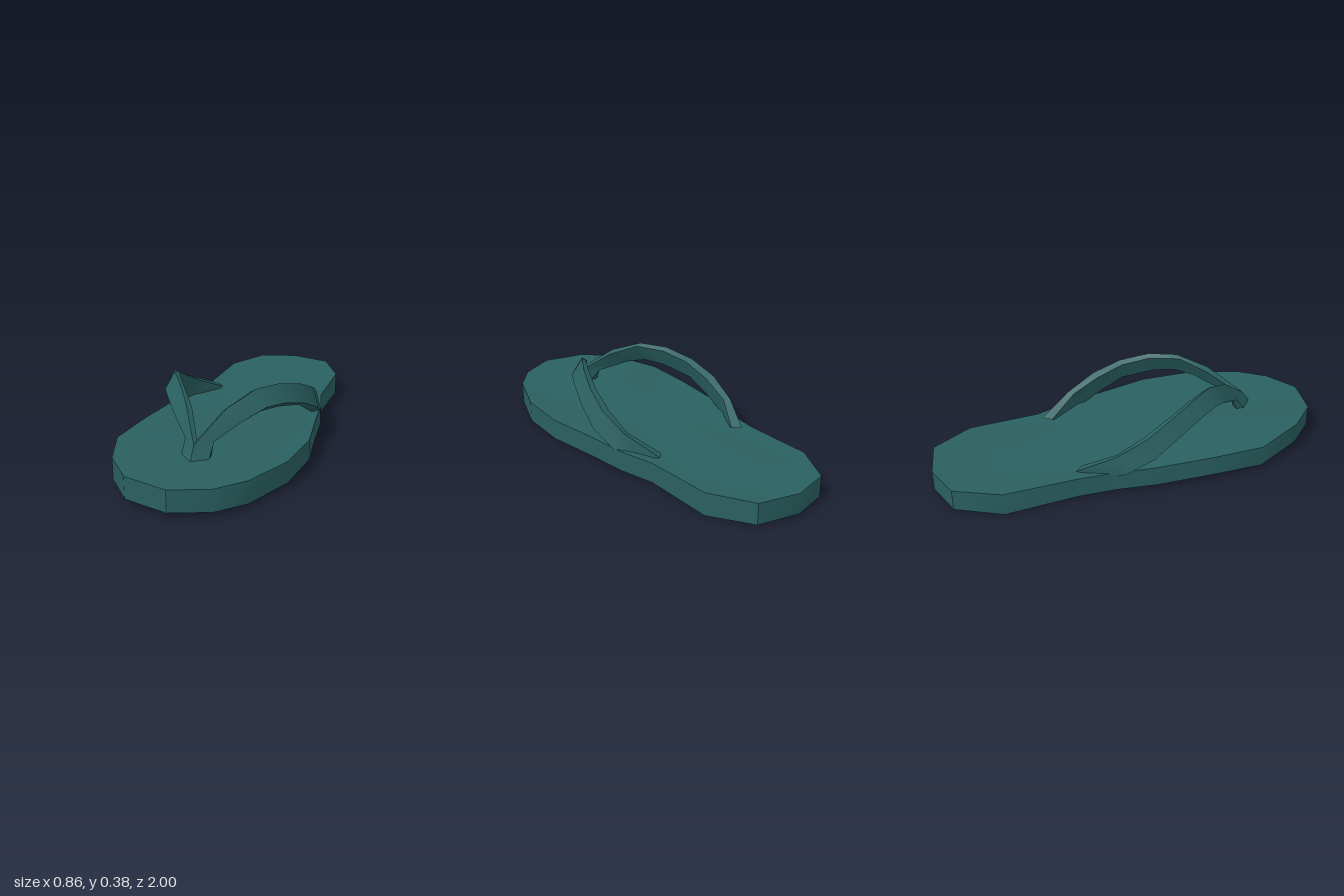
import * as THREE from 'three';
import { toCreasedNormals } from 'three/addons/utils/BufferGeometryUtils.js';

// Skin a stack of rings (each counter-clockwise about the travel direction), closed by fans
function loft(rings) {
  const n = rings[0].length;
  const pos = rings.flat(2);
  const index = [];
  for (let r = 0; r < rings.length - 1; r++) {
    for (let i = 0; i < n; i++) {
      const j = (i + 1) % n;
      const a = r * n + i, b = r * n + j, c = b + n, d = a + n;
      index.push(a, b, c, a, c, d);
    }
  }
  const cap = (r, flip) => {
    const centre = pos.length / 3;
    for (let k = 0; k < 3; k++) pos.push(rings[r].reduce((s, p) => s + p[k], 0) / n);
    for (let i = 0; i < n; i++) {
      const a = r * n + i, b = r * n + (i + 1) % n;
      index.push(centre, flip ? b : a, flip ? a : b);
    }
  };
  cap(0, true);
  cap(rings.length - 1, false);
  const g = new THREE.BufferGeometry();
  g.setAttribute('position', new THREE.Float32BufferAttribute(pos, 3));
  g.setIndex(index);
  return toCreasedNormals(g, 0.6);
}

// Sole outline: x, z, top height, bottom height
const OUTLINE = [
  [0, -1, 0.115, 0.013], [-0.19, -0.95, 0.115, 0.01], [-0.305, -0.74, 0.113, 0.0],
  [-0.315, -0.38, 0.11, 0.01], [-0.34, -0.2, 0.112, 0.015], [-0.385, 0, 0.12, 0.02],
  [-0.415, 0.27, 0.124, 0.024], [-0.43, 0.54, 0.126, 0.022], [-0.33, 0.79, 0.142, 0.038],
  [-0.2, 0.94, 0.138, 0.032], [0.015, 0.995, 0.134, 0.029], [0.19, 0.915, 0.129, 0.023],
  [0.3, 0.79, 0.128, 0.02], [0.4, 0.54, 0.125, 0.02], [0.425, 0.27, 0.124, 0.022],
  [0.385, 0, 0.12, 0.018], [0.36, -0.2, 0.113, 0.013], [0.315, -0.38, 0.11, 0.01],
  [0.312, -0.74, 0.113, 0.0], [0.2, -0.95, 0.115, 0.01],
];

// Strap sections from toe post to heel end: inner top, ridge, outer bottom, inner bottom
const STRAP = [
  [[0, 0.11, 0.6], [0, 0.11, 0.71], [0.065, 0.11, 0.65], [0.06, 0.11, 0.6]],
  [[0, 0.2, 0.61], [0, 0.19, 0.65], [0.07, 0.19, 0.58], [0.062, 0.185, 0.565]],
  [[0.075, 0.3, 0.48], [0.1, 0.32, 0.49], [0.18, 0.265, 0.46], [0.165, 0.25, 0.44]],
  [[0.165, 0.36, 0.36], [0.19, 0.375, 0.355], [0.245, 0.297, 0.37], [0.215, 0.272, 0.36]],
  [[0.24, 0.355, 0.22], [0.265, 0.37, 0.23], [0.3, 0.29, 0.27], [0.265, 0.265, 0.26]],
  [[0.29, 0.318, 0.09], [0.325, 0.33, 0.09], [0.36, 0.245, 0.12], [0.322, 0.225, 0.1]],
  [[0.312, 0.26, -0.04], [0.355, 0.268, -0.05], [0.39, 0.175, -0.02], [0.342, 0.155, -0.02]],
  [[0.308, 0.19, -0.18], [0.335, 0.195, -0.2], [0.37, 0.11, -0.16], [0.33, 0.095, -0.15]],
  [[0.225, 0.115, -0.33], [0.26, 0.115, -0.37], [0.31, 0.075, -0.25], [0.27, 0.075, -0.24]],
];

export function createModel() {
  const model = new THREE.Group();
  const rubber = new THREE.MeshStandardMaterial({ color: 0x2a6060 });
  const add = (name, rings) => {
    const mesh = new THREE.Mesh(loft(rings), rubber);
    mesh.name = name;
    model.add(mesh);
  };

  // Sole with a very shallow dished footbed (outline already runs counter-clockwise from above)
  add('sole', [
    OUTLINE.map(([x, z, , bottom]) => [x, bottom, z]),
    OUTLINE.map(([x, z, top]) => [x, top, z]),
    OUTLINE.map(([x, z, top]) => [x * 0.5, top - 0.006, z * 0.6]),
  ]);

  // Two mirrored straps meeting at the toe post
  add('leftStrap', STRAP);
  add('rightStrap', STRAP.map(ring => ring.map(([x, y, z]) => [-x, y, z]).reverse()));
  return model;
}
